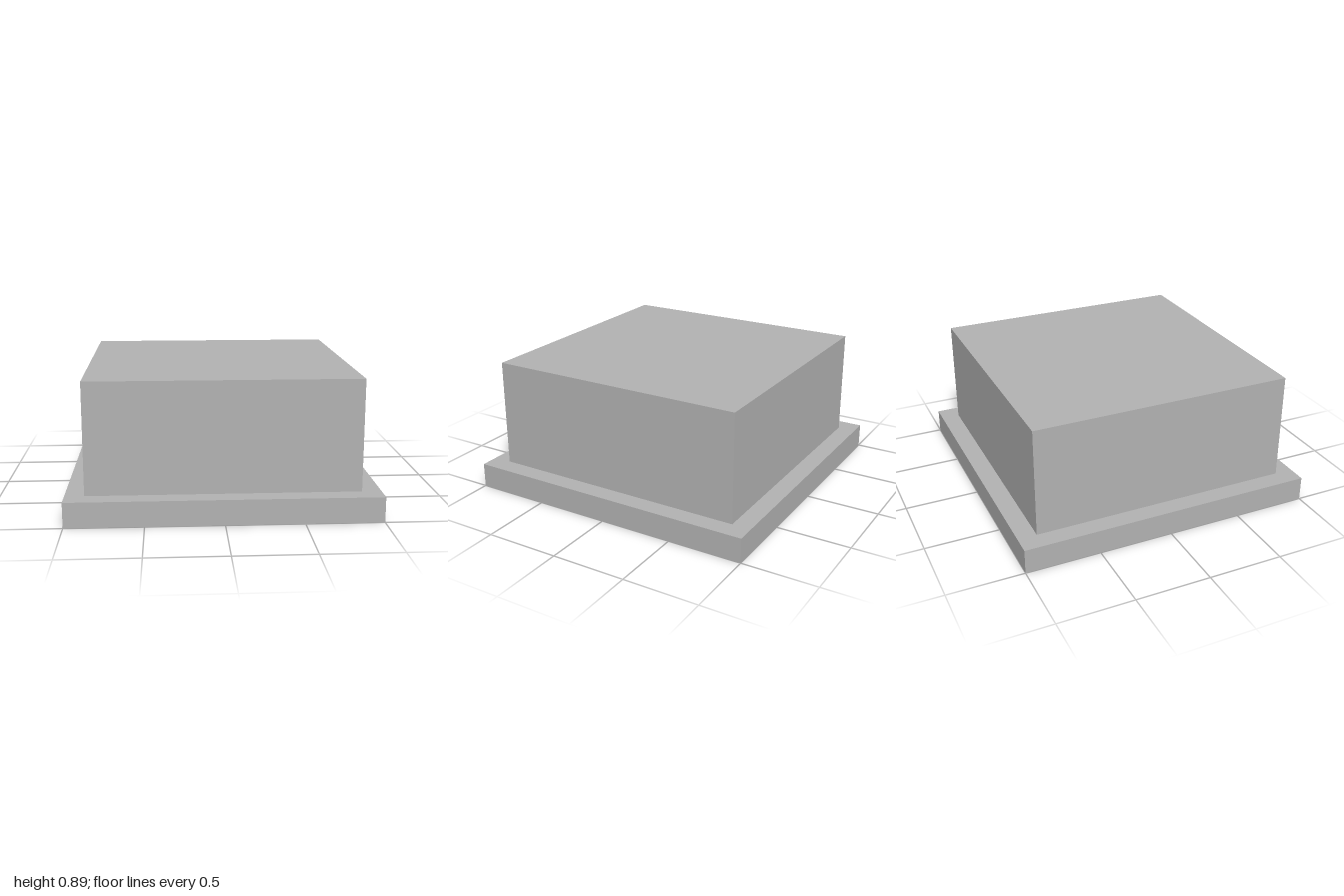
import * as THREE from 'three';
import { toCreasedNormals } from 'three/addons/utils/BufferGeometryUtils.js';

const PLATE_HEIGHT = 0.165;
const RECESS_DEPTH = 0.147;
const TOP = 0.89;
const BODY_WIDTH = 1.75;

export function createModel() {
  const group = new THREE.Group();
  group.name = 'squareBlock';

  const grey = new THREE.MeshStandardMaterial({ color: 0xb2b2b2 });
  grey.name = 'grey';

  // Square base plate with a round opening underneath
  const outline = new THREE.Shape([
    new THREE.Vector2(-1, -1),
    new THREE.Vector2(1, -1),
    new THREE.Vector2(1, 1),
    new THREE.Vector2(-1, 1),
  ]);
  const opening = new THREE.Path();
  opening.absarc(0, 0, 0.5, 0, Math.PI * 2, true);
  outline.holes.push(opening);
  const plateGeometry = new THREE.ExtrudeGeometry(outline, {
    depth: PLATE_HEIGHT,
    bevelEnabled: false,
    curveSegments: 64,
  });
  plateGeometry.rotateX(-Math.PI / 2);
  const plate = new THREE.Mesh(toCreasedNormals(plateGeometry, Math.PI / 6), grey);
  plate.name = 'basePlate';
  group.add(plate);

  // Body sinks into the plate, so its underside is the recess floor
  const height = TOP - RECESS_DEPTH;
  const body = new THREE.Mesh(new THREE.BoxGeometry(BODY_WIDTH, height, BODY_WIDTH), grey);
  body.name = 'body';
  body.position.y = RECESS_DEPTH + height / 2;
  group.add(body);

  return group;
}
